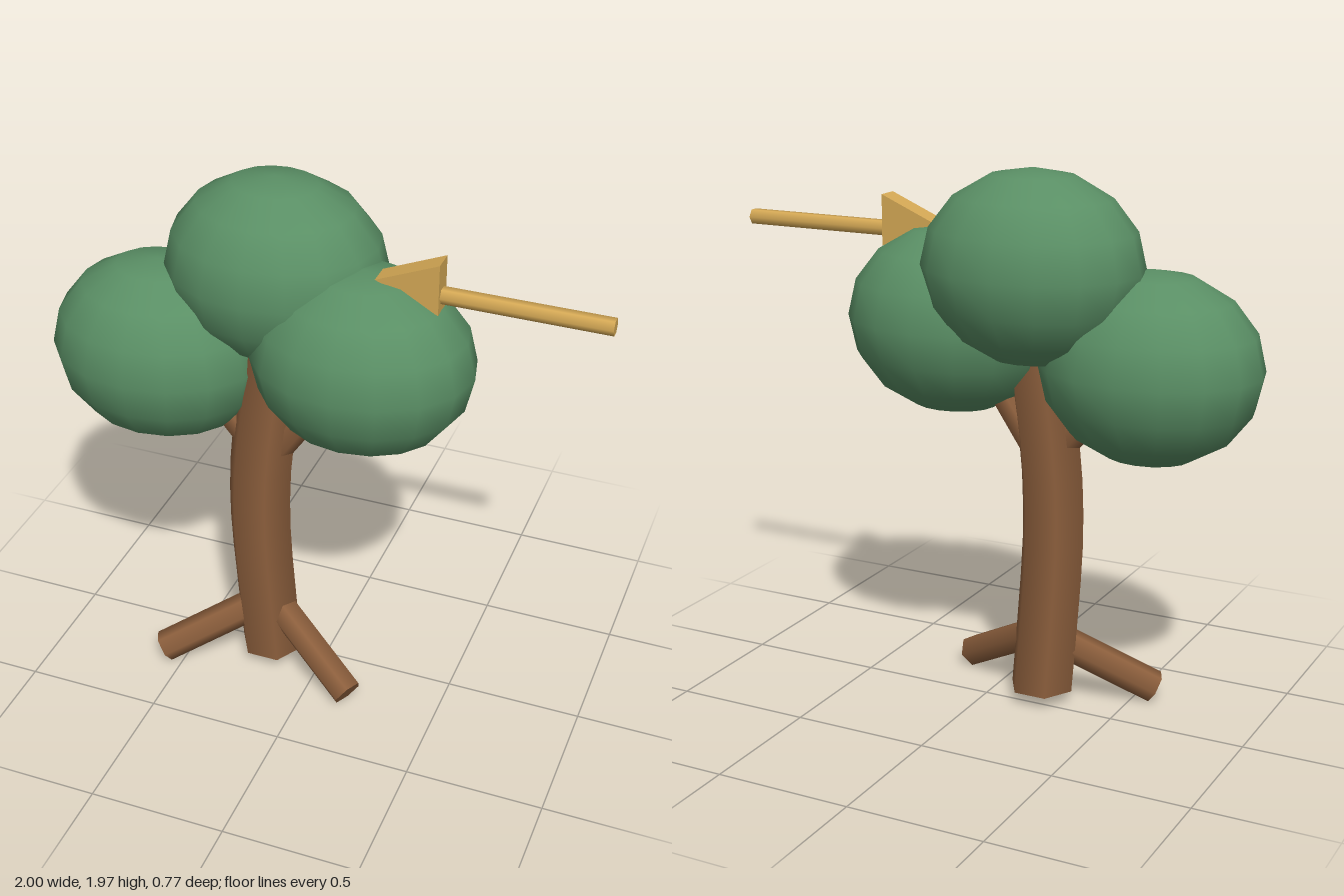
import * as THREE from 'three';

const bark = new THREE.MeshStandardMaterial({ color: 0x8b5e3c });
bark.name = 'bark';
const leaf = new THREE.MeshStandardMaterial({ color: 0x5a8f65 });
leaf.name = 'leaf';
const gold = new THREE.MeshStandardMaterial({ color: 0xd4a855 });
gold.name = 'gold';

const Z = 0.055; // depth of the trunk axis

function add(group, name, geometry, material) {
  const mesh = new THREE.Mesh(geometry, material);
  mesh.name = name;
  group.add(mesh);
  return mesh;
}

// Six-sided rod between two points
function rod(group, name, from, to, radius, material) {
  const a = new THREE.Vector3(...from);
  const b = new THREE.Vector3(...to);
  const dir = b.clone().sub(a);
  const geometry = new THREE.CylinderGeometry(radius, radius, dir.length(), 6).rotateY(Math.PI / 6);
  const mesh = add(group, name, geometry, material);
  mesh.position.copy(a).add(b).multiplyScalar(0.5);
  mesh.quaternion.setFromUnitVectors(new THREE.Vector3(0, 1, 0), dir.normalize());
  return mesh;
}

// Hexagonal trunk bent along a gentle curve
function trunkGeometry() {
  const path = new THREE.CatmullRomCurve3([
    [-0.2, 0.055], [-0.222, 0.35], [-0.238, 0.62], [-0.233, 0.87], [-0.2, 1.15], [-0.15, 1.45],
  ].map(([x, y]) => new THREE.Vector3(x, y, Z)));
  const geometry = new THREE.CylinderGeometry(0.118, 0.12, 1, 6, 10).rotateY(Math.PI / 6).translate(0, 0.5, 0);
  const pos = geometry.attributes.position;
  for (let i = 0; i < pos.count; i++) {
    const p = path.getPoint(pos.getY(i));
    pos.setXYZ(i, p.x + pos.getX(i), p.y, p.z + pos.getZ(i));
  }
  return geometry;
}

export function createModel() {
  const model = new THREE.Group();
  model.name = 'treeWithArrow';

  add(model, 'trunk', trunkGeometry(), bark);

  // Roots splayed forward to both sides
  for (const [name, side] of [['rightRoot', -1], ['leftRoot', 1]]) {
    rod(model, name, [-0.2 + side * 0.01, 0.27, Z], [-0.2 + side * 0.375, 0.055, 0.235], 0.06, bark);
  }

  // Branches reaching into the crown
  rod(model, 'rightBranch', [-0.22, 0.93, Z], [-0.5, 1.27, Z], 0.055, bark);
  rod(model, 'leftBranch', [-0.19, 0.93, Z], [0.06, 1.3, Z], 0.055, bark);

  // Crown of three ellipsoids
  const crown = [
    ['rightFoliage', -0.6, 1.31, 0.052],
    ['leftFoliage', 0.153, 1.41, 0.052],
    ['topFoliage', -0.203, 1.64, -0.057],
  ];
  for (const [name, x, y, z] of crown) {
    const foliage = add(model, name, new THREE.SphereGeometry(1, 16, 8), leaf);
    foliage.scale.set(0.398, 0.34, 0.329);
    foliage.position.set(x, y, z);
  }

  // Arrow stuck in the crown
  rod(model, 'arrowShaft', [0.4, 1.71, 0.052], [1, 1.71, 0.052], 0.03, gold).rotateY(Math.PI / 6);
  const wedge = new THREE.Shape([
    new THREE.Vector2(0.205, 1.743), new THREE.Vector2(0.425, 1.652), new THREE.Vector2(0.425, 1.836),
  ]);
  const head = new THREE.ExtrudeGeometry(wedge, { depth: 0.08, bevelEnabled: false });
  add(model, 'arrowHead', head, gold).position.z = 0.012;

  return model;
}
